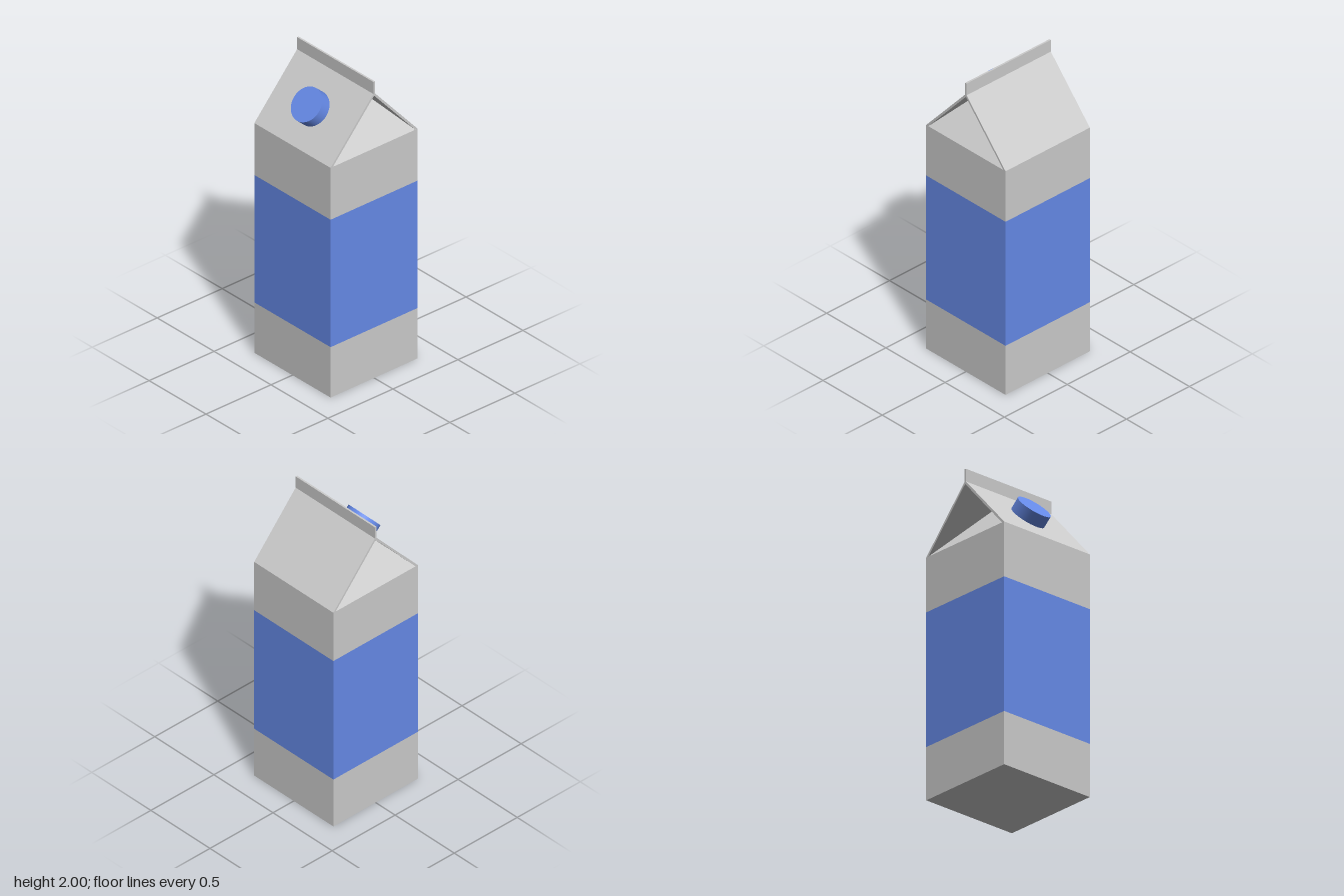
import * as THREE from 'three';

const W = 0.67, H = W / 2;            // carton width and half width
const EAVE = 1.55, RIDGE = 1.925, TOP = 2;
const T = 0.006;                      // half thickness of the board

const board = new THREE.MeshStandardMaterial({ color: 0xcccccc });
const foldBoard = new THREE.MeshStandardMaterial({ color: 0xcccccc, flatShading: true });
const blue = new THREE.MeshStandardMaterial({ color: 0x668ae8 });

export function createModel() {
  const carton = new THREE.Group();
  carton.name = 'carton';

  const add = (name, geometry, material) => {
    const mesh = new THREE.Mesh(geometry, material);
    mesh.name = name;
    carton.add(mesh);
    return mesh;
  };

  // Square body in three stacked sections with a flush coloured band
  const sections = [
    ['lowerBody', 0, 0.34, board],
    ['colourBand', 0.34, 1.2, blue],
    ['upperBody', 1.2, EAVE, board],
  ];
  for (const [name, y0, y1, material] of sections) {
    add(name, new THREE.BoxGeometry(W, y1 - y0, W), material).position.y = (y0 + y1) / 2;
  }

  // Gable roof panels and the sealed top fin, as one profile run along x
  const half = [[H - 0.018, EAVE], [H, EAVE], [T, RIDGE - 0.006], [T, TOP]];
  const outline = [
    [0, RIDGE - 0.02],
    ...half,
    ...half.map(([z, y]) => [-z, y]).reverse(),
  ].map(([z, y]) => new THREE.Vector2(z, y));
  const roof = new THREE.ExtrudeGeometry(new THREE.Shape(outline), { depth: W, bevelEnabled: false });
  roof.translate(0, 0, -H).rotateY(-Math.PI / 2);
  add('gableRoof', roof, board);

  // Side gussets folded inwards to meet under the middle of the ridge
  const foldHeight = RIDGE - 0.018 - EAVE;
  const folds = new THREE.ConeGeometry(H * Math.SQRT2, foldHeight, 4, 1, true);
  folds.rotateY(Math.PI / 4).translate(0, EAVE + foldHeight / 2, 0);
  add('sideFolds', folds, foldBoard);

  // Screw cap standing square on the front roof panel
  const normal = new THREE.Vector3(0, H, RIDGE - EAVE).normalize();
  const capHeight = 0.08;
  const cap = add('screwCap', new THREE.CylinderGeometry(0.11, 0.11, capHeight, 48), blue);
  cap.quaternion.setFromUnitVectors(new THREE.Vector3(0, 1, 0), normal);
  cap.position.set(0, 1.785, 0.227).addScaledVector(normal, -capHeight / 2);

  return carton;
}
